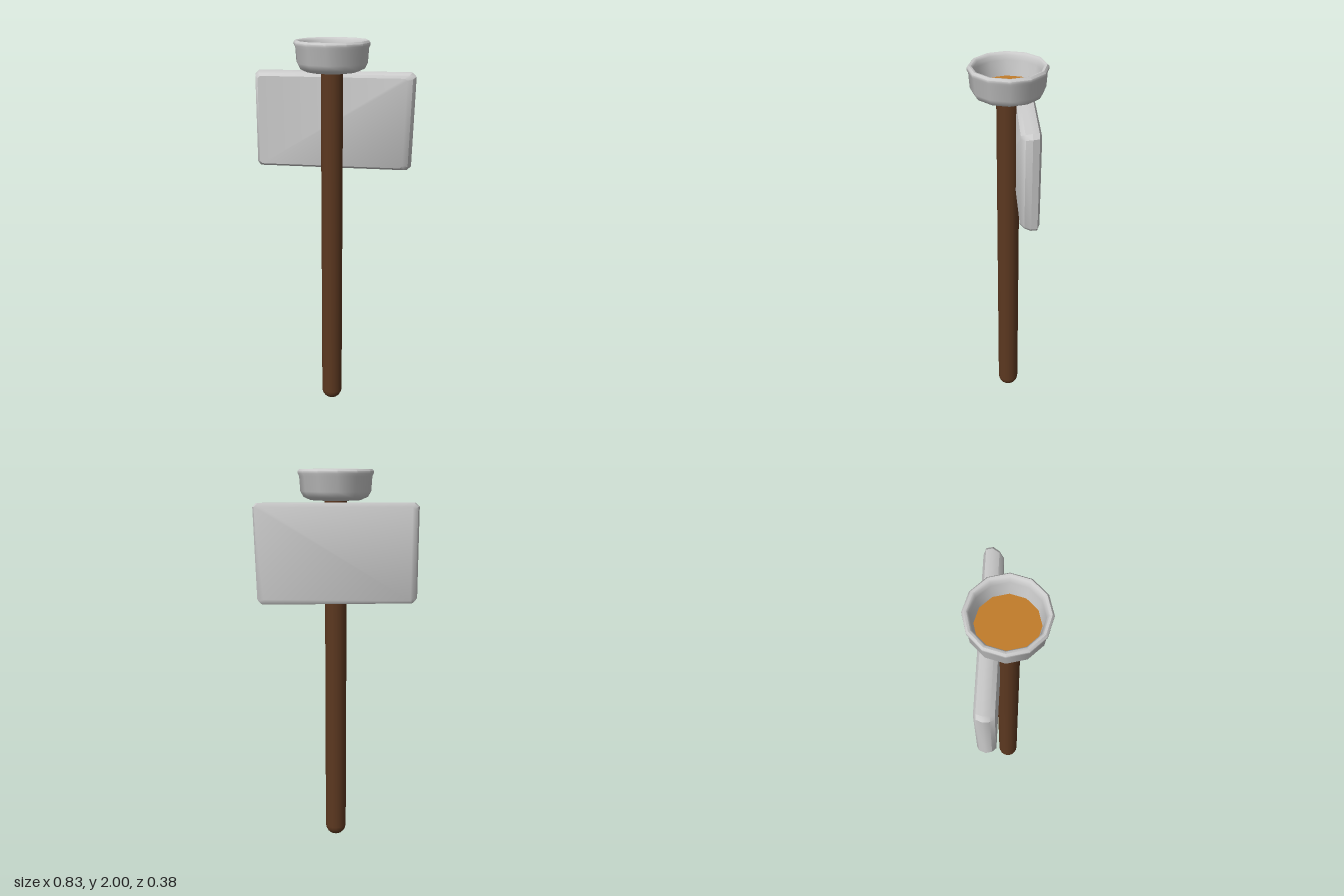
import * as THREE from 'three';
import { toCreasedNormals } from 'three/addons/utils/BufferGeometryUtils.js';

const AXIS_X = -0.006;
const grey = new THREE.MeshStandardMaterial({ color: 0xcccccc });
const wood = new THREE.MeshStandardMaterial({ color: 0x5c3820 });
const amber = new THREE.MeshStandardMaterial({ color: 0xc27c2a });

function part(name, geometry, material, x = AXIS_X) {
  const mesh = new THREE.Mesh(geometry, material);
  mesh.name = name;
  mesh.position.x = x;
  return mesh;
}

const lathe = (points, sides) =>
  new THREE.LatheGeometry(points.map(([r, y]) => new THREE.Vector2(r, y)), sides);

// Post with a rounded foot
function postGeometry() {
  const r = 0.056;
  const profile = [];
  for (let i = 0; i <= 5; i++) {
    const a = (i / 5) * Math.PI / 2;
    profile.push([r * Math.sin(a), r - r * Math.cos(a) + 0.004]);
  }
  profile.push([r, 1.86]);
  return lathe(profile, 16);
}

// Slab with worn, bevelled edges: corner-cut outlines stacked from front to back
function boardGeometry() {
  // z, left edge, right edge, bottom, top, corner cut
  const layers = [
    [-0.036, -0.395, 0.365, 1.36, 1.815, 0.012],
    [-0.055, -0.411, 0.392, 1.347, 1.828, 0.018],
    [-0.085, -0.418, 0.408, 1.342, 1.84, 0.02],
    [-0.115, -0.406, 0.4, 1.34, 1.838, 0.018],
    [-0.126, -0.39, 0.375, 1.355, 1.82, 0.012],
  ];
  const n = 8;
  const positions = [];
  const indices = [];
  for (const [z, l, r, b, t, c] of layers) {
    const low = r - 0.012; // right edge leans in slightly at the bottom
    const ring = [
      [l + c, b], [low - c, b], [low, b + c], [r, t - c],
      [r - c, t], [l + c, t], [l, t - c], [l, b + c],
    ];
    for (const [x, y] of ring) positions.push(x, y, z);
  }
  for (let k = 0; k < layers.length - 1; k++) {
    for (let i = 0; i < n; i++) {
      const a = k * n + i;
      const b = k * n + (i + 1) % n;
      indices.push(a, a + n, b, b, a + n, b + n);
    }
  }
  const last = (layers.length - 1) * n;
  for (let i = 1; i < n - 1; i++) {
    indices.push(0, i, i + 1); // front face
    indices.push(last, last + i + 1, last + i); // back face
  }
  const geometry = new THREE.BufferGeometry();
  geometry.setAttribute('position', new THREE.Float32BufferAttribute(positions, 3));
  geometry.setIndex(indices);
  return toCreasedNormals(geometry, 0.7);
}

export function createModel() {
  const group = new THREE.Group();
  group.name = 'signpostWithBowl';

  group.add(part('post', postGeometry(), wood));
  group.add(part('board', boardGeometry(), grey, 0));

  // Twelve-sided bowl: underside, outer wall, rolled lip, inner wall and floor
  const bowl = lathe([
    [0, 1.848], [0.13, 1.85], [0.163, 1.865], [0.178, 1.893], [0.183, 1.965],
    [0.19, 1.978], [0.19, 1.99], [0.181, 2], [0.17, 1.998], [0.162, 1.988],
    [0.158, 1.965], [0.144, 1.888], [0.12, 1.872], [0, 1.87],
  ], 12);
  group.add(part('bowl', toCreasedNormals(bowl, 0.75), grey));

  // Flat surface of the bowl's contents
  const liquid = new THREE.CircleGeometry(0.145, 12).rotateX(-Math.PI / 2).translate(0, 1.892, 0);
  group.add(part('liquid', liquid, amber));

  return group;
}
